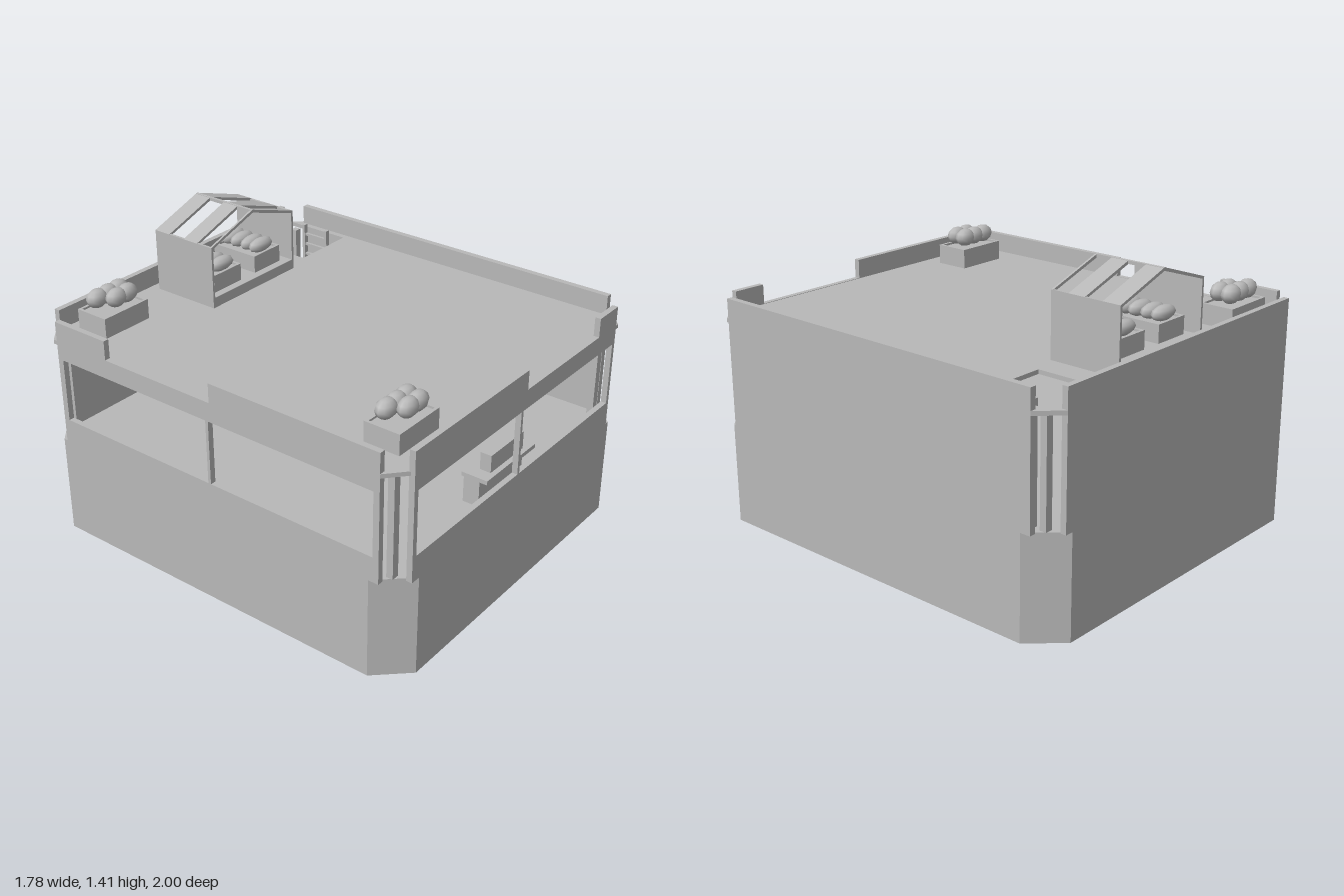
import * as THREE from 'three';

export function createModel() {
  const model = new THREE.Group();
  const grey = new THREE.MeshStandardMaterial({ color: 0xb8b8b8 });
  grey.name = 'plain grey';

  const add = (name, geometry, parent = model) => {
    const mesh = new THREE.Mesh(geometry, grey);
    mesh.name = name;
    parent.add(mesh);
    return mesh;
  };
  // box given by its limits on each axis
  const box = (name, x0, x1, y0, y1, z0, z1, parent) => {
    const g = new THREE.BoxGeometry(x1 - x0, y1 - y0, z1 - z0);
    g.translate((x0 + x1) / 2, (y0 + y1) / 2, (z0 + z1) / 2);
    return add(name, g, parent);
  };
  const group = (name) => {
    const g = new THREE.Group();
    g.name = name;
    model.add(g);
    return g;
  };
  const points = (list) => list.map(([a, b]) => new THREE.Vector2(a, b));
  const rect = (x0, x1, y0, y1) => new THREE.Path(points([[x0, y0], [x0, y1], [x1, y1], [x1, y0]]));
  const plate = (outline, holes, depth) => {
    const shape = new THREE.Shape(points(outline));
    shape.holes.push(...holes);
    return new THREE.ExtrudeGeometry(shape, { depth, bevelEnabled: false });
  };
  // horizontal slab from (x, z) points
  const slab = (name, plan, holes, y0, y1) => {
    const g = plate(plan.map(([x, z]) => [x, -z]), holes, y1 - y0);
    g.rotateX(-Math.PI / 2);
    g.translate(0, y0, 0);
    return add(name, g);
  };

  // solid lower storey with cut corners
  slab('lowerBody', [
    [-0.75, 1], [0.81, 1], [0.89, 0.92], [0.89, -0.85],
    [0.75, -1], [-0.8, -1], [-0.89, -0.92], [-0.89, 0.85],
  ], [], 0, 0.49);

  // roof with a hatch opening
  slab('roof', [
    [-0.8, 0.98], [0.81, 1], [0.89, 0.92], [0.89, -0.9],
    [0.79, -1], [-0.8, -1], [-0.89, -0.92], [-0.89, 0.9],
  ], [rect(0.5, 0.83, 0.61, 0.95)], 0.99, 1.01);

  // front wall: two window panes and a stepped parapet
  const front = plate([
    [-0.8, 0.49], [0.79, 0.49], [0.79, 1.105], [0.63, 1.105],
    [0.63, 1.012], [0.02, 1.012], [0.02, 1.105], [-0.8, 1.105],
  ], [rect(-0.775, -0.02, 0.61, 0.92), rect(-0.005, 0.77, 0.61, 0.92)], 0.028);
  front.translate(0, 0, 0.972);
  add('frontWall', front);

  // windowed side wall, drawn along z and turned into place
  const side = plate([
    [-0.9, 0.49], [0.9, 0.49], [0.9, 1.105], [0.02 - 0.04, 1.105].map((v, i) => (i ? v : -0.02)),
    [-0.02, 1.012], [-0.02, 1.105],
  ].slice(0, 2).concat([
    [0.9, 1.105], [0.59, 1.105], [0.59, 1.012], [-0.02, 1.012], [-0.02, 1.105], [-0.9, 1.105],
  ]), [rect(-0.87, -0.01, 0.61, 0.92), rect(0.005, 0.87, 0.61, 0.92)], 0.028);
  side.rotateY(Math.PI / 2);
  side.translate(-0.89, 0, 0);
  add('rightWall', side);

  // plain walls and corner posts
  box('leftWall', 0.86, 0.89, 0.49, 1.105, -0.9, 0.91);
  box('backWall', -0.8, 0.79, 0.49, 1.105, -1, -0.972);
  for (const x of [-0.81, 0.805])
    for (const z of [-0.91, 0.91])
      box('cornerPost', x - 0.018, x + 0.018, 0.49, 0.99, z - 0.016, z + 0.016);

  // bench behind the front window
  const bench = group('bench');
  box('benchTop', -0.2, 0.19, 0.63, 0.65, 0.83, 0.96, bench);
  box('benchBase', -0.18, 0.17, 0.49, 0.63, 0.83, 0.91, bench);
  box('benchBox', -0.135, 0.125, 0.65, 0.735, 0.88, 0.935, bench);

  // ladder under the hatch
  const ladder = group('ladder');
  for (const z of [-0.86, -0.715]) box('ladderRail', 0.8, 0.825, 0.49, 1.03, z, z + 0.015, ladder);
  for (let i = 0; i < 9; i++) {
    const y = 0.53 + i * 0.055;
    box('ladderRung', 0.806, 0.82, y, y + 0.012, -0.85, -0.71, ladder);
  }

  // ribbed, flattened fruit
  const fruit = (x, y, z, rx, ry, rz, parent) => {
    const m = add('fruit', new THREE.SphereGeometry(1, 10, 6), parent);
    m.scale.set(rx, ry, rz);
    m.position.set(x, y, z);
  };

  // open crate with a filling just below the rim
  const crate = (x0, x1, y0, y1, z0, z1, parent) => {
    const t = 0.014;
    const g = plate([[x0, -z1], [x1, -z1], [x1, -z0], [x0, -z0]],
      [rect(x0 + t, x1 - t, -z1 + t, -z0 - t)], y1 - y0);
    g.rotateX(-Math.PI / 2);
    g.translate(0, y0, 0);
    add('crate', g, parent);
    box('crateFilling', x0 + t, x1 - t, y0, y1 - 0.01, z0 + t, z1 - t, parent);
  };

  // roof crates at the right corners
  for (const z of [-0.825, 0.795]) {
    const g = group('roofCrate');
    crate(-0.74, -0.47, 1.01, 1.107, z - 0.087, z + 0.087, g);
    for (const x of [-0.67, -0.605, -0.54]) fruit(x, 1.153, z - 0.03, 0.058, 0.045, 0.042, g);
    for (const x of [-0.61, -0.545]) fruit(x, 1.153, z + 0.032, 0.058, 0.045, 0.04, g);
  }

  // market stand: base, sides and slatted gable
  const stand = group('marketStand');
  box('standBase', -0.21, 0.375, 1.01, 1.06, -0.925, -0.57, stand);
  box('standSide', -0.21, -0.198, 1.06, 1.315, -0.925, -0.57, stand);
  box('standSide', 0.363, 0.375, 1.06, 1.315, -0.925, -0.57, stand);
  const gable = [
    [-0.21, 1.315], [-0.21, 1.302], [0.0825, 1.397], [0.375, 1.302], [0.375, 1.315], [0.0825, 1.412],
  ];
  for (const [z0, z1] of [[-0.925, -0.835], [-0.745, -0.66], [-0.58, -0.57]]) {
    const g = plate(gable, [], z1 - z0);
    g.translate(0, 0, z0);
    add('gableSlat', g, stand);
  }
  box('ridgeBar', 0.075, 0.09, 1.396, 1.411, -0.925, -0.57, stand);
  for (const x of [-0.0625, 0.2225]) {
    crate(x - 0.0925, x + 0.0925, 1.06, 1.145, -0.87, -0.61, stand);
    for (const z of [-0.825, -0.77, -0.705, -0.65]) fruit(x, 1.168, z, 0.078, 0.034, 0.036, stand);
  }

  return model;
}
